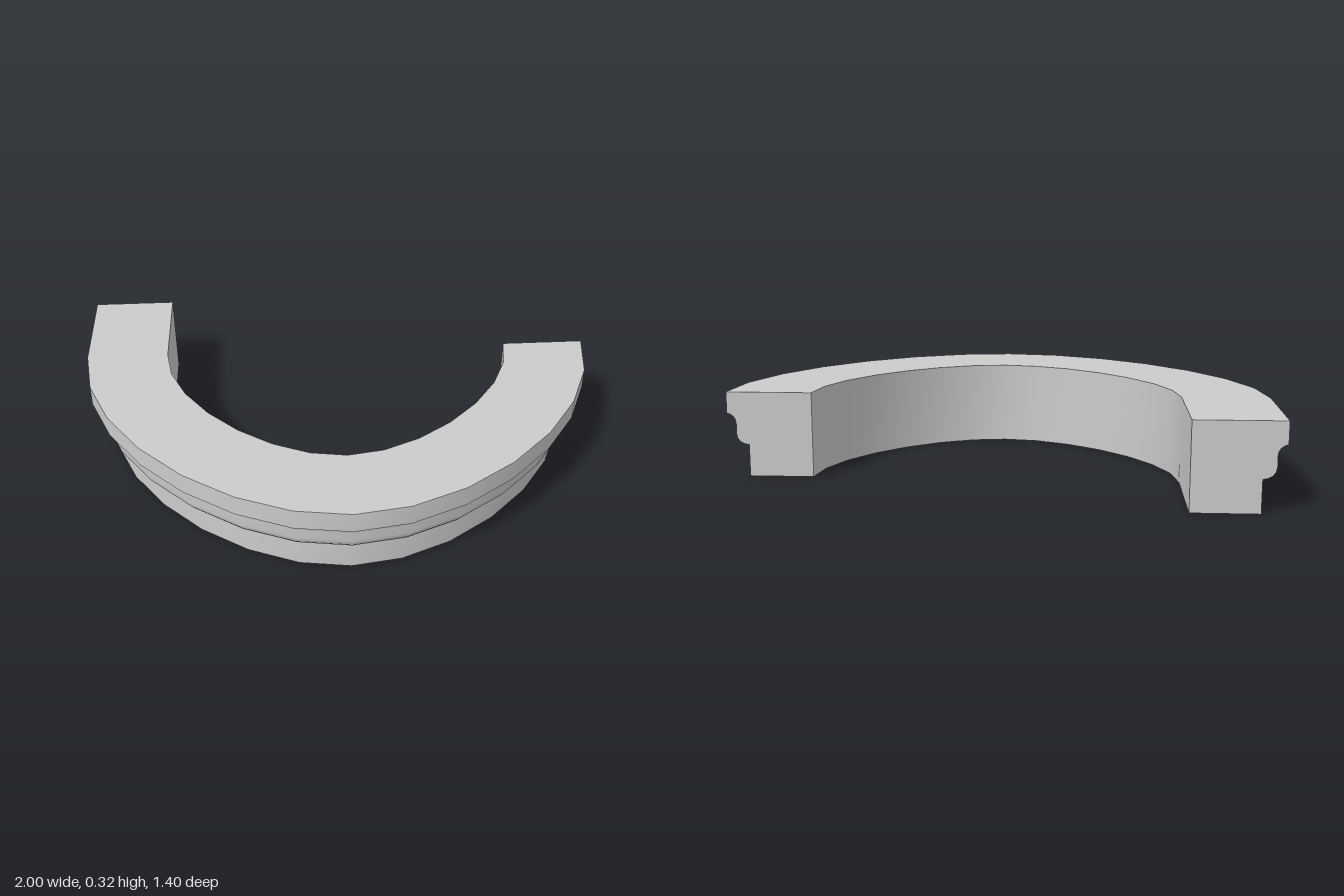
import * as THREE from 'three';
import { toCreasedNormals } from 'three/addons/utils/BufferGeometryUtils.js';

const CENTRE_Z = -0.3, QUARTER = 7, TAIL = 0.4;

// Moulding section as (radius, height), counter-clockwise
function mouldingSection() {
  const s = new THREE.Shape();
  s.moveTo(0.68, 0);
  s.lineTo(0.92, 0);
  s.lineTo(0.92, 0.12);
  s.bezierCurveTo(0.945, 0.122, 0.967, 0.135, 0.967, 0.165); // rounded bead
  s.lineTo(0.966, 0.2);
  s.bezierCurveTo(0.966, 0.222, 0.98, 0.236, 1, 0.24); // hollow under the rim
  s.lineTo(1, 0.32);
  s.lineTo(0.68, 0.32);
  return s.getPoints(4);
}

// Point on a slightly flattened quarter arc: t = 0 at the crown, 1 at the spring
function arcPoint(r, t) {
  const handle = r * (0.45 + (r - 0.68) * 0.08);
  return new THREE.CubicBezierCurve(
    new THREE.Vector2(0, r), new THREE.Vector2(handle, r),
    new THREE.Vector2(r, handle), new THREE.Vector2(r, 0)
  ).getPoint(t);
}

// Sweep the section through a list of stations and close both ends
function sweep(section, stations) {
  const n = section.length, pos = [], idx = [];
  for (const place of stations) for (const p of section) pos.push(...place(p.x, p.y));
  for (let i = 0; i < stations.length - 1; i++) {
    for (let j = 0; j < n; j++) {
      const a = i * n + j, b = i * n + (j + 1) % n, c = b + n, d = a + n;
      idx.push(a, d, c, a, c, b);
    }
  }
  const last = (stations.length - 1) * n;
  for (const [a, b, c] of THREE.ShapeUtils.triangulateShape(section, [])) {
    idx.push(a, b, c, last + a, last + c, last + b);
  }
  const g = new THREE.BufferGeometry();
  g.setAttribute('position', new THREE.Float32BufferAttribute(pos, 3));
  g.setIndex(idx);
  return toCreasedNormals(g, THREE.MathUtils.degToRad(40));
}

export function createModel() {
  const group = new THREE.Group();
  group.name = 'curvedMoulding';

  // Straight tail on one side, then the two mirrored quarter arcs
  const stations = [(r, y) => [-r, y, CENTRE_Z - TAIL]];
  for (let i = -QUARTER; i <= QUARTER; i++) {
    stations.push((r, y) => {
      const p = arcPoint(r, Math.abs(i) / QUARTER);
      return [Math.sign(i) * p.x, y, CENTRE_Z + p.y];
    });
  }

  const mesh = new THREE.Mesh(
    sweep(mouldingSection(), stations),
    new THREE.MeshStandardMaterial({ color: 0xcccccc })
  );
  mesh.name = 'archMoulding';
  group.add(mesh);
  return group;
}
